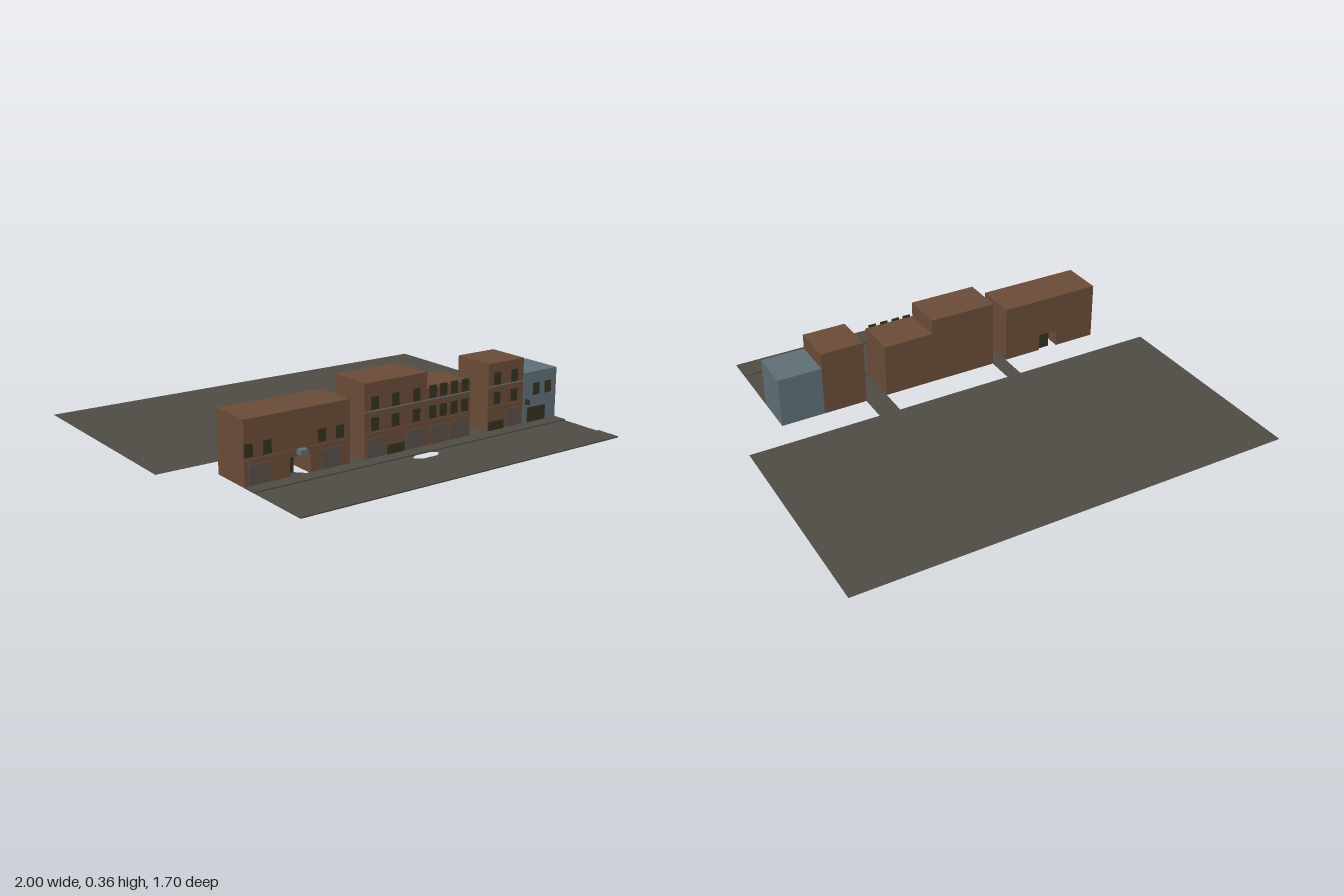
import * as THREE from 'three';

const mat = (name, color, side = THREE.FrontSide) => {
  const m = new THREE.MeshStandardMaterial({ color, side });
  m.name = name;
  return m;
};

export function createModel() {
  const brick = mat('brown brick', 0x6a4c38);
  const slate = mat('blue grey wall', 0x5f6f77);
  const asphalt = mat('asphalt', 0x4f4b45, THREE.DoubleSide);
  const dark = mat('dark glass', 0x33321f);
  const shop = mat('shop grey', 0x5a4f4a);
  const model = new THREE.Group();

  const G = 0.039;      // street level
  const BACK = 0.28, FRONT = 0.475;

  const add = (name, geo, material) => {
    const mesh = new THREE.Mesh(geo, material);
    mesh.name = name;
    model.add(mesh);
    return mesh;
  };
  // Box given by its limits
  const box = (name, x0, x1, y0, y1, z0, z1, material) => {
    const m = add(name, new THREE.BoxGeometry(x1 - x0, y1 - y0, z1 - z0), material);
    m.position.set((x0 + x1) / 2, (y0 + y1) / 2, (z0 + z1) / 2);
    return m;
  };
  // Thin plate on the street front
  const plate = (name, x0, x1, y0, y1, material) =>
    box(name, x0, x1, y0, y1, FRONT - 0.002, FRONT + 0.004, material);
  // Flat ground sheet, optionally pierced
  const sheet = (name, x0, x1, z0, z1, y, hole) => {
    const s = new THREE.Shape([[x0, -z1], [x1, -z1], [x1, -z0], [x0, -z0]]
      .map(p => new THREE.Vector2(...p)));
    if (hole) s.holes.push(hole);
    const m = add(name, new THREE.ShapeGeometry(s).rotateX(-Math.PI / 2), asphalt);
    m.position.y = y;
  };

  // Ground: rear lot, two alleys, road with an opening, pavements
  sheet('rearLot', -1, 1, -0.85, 0.145, G);
  sheet('leftAlley', -0.32, -0.25, 0.145, FRONT, G);
  sheet('rightAlley', 0.3, 0.4, 0.145, FRONT, G);
  const hole = new THREE.Path([
    [-0.07, -0.558], [-0.045, -0.541], [0.03, -0.541], [0.055, -0.558],
    [0.055, -0.572], [0.03, -0.589], [-0.045, -0.589], [-0.07, -0.572],
  ].map(p => new THREE.Vector2(...p)));
  sheet('road', -0.8, 0.8, 0.54, 0.74, G, hole);
  box('nearPavement', -0.8, 0.8, G, 0.044, FRONT, 0.54, asphalt);
  box('farPavement', -0.8, 0.8, G, 0.044, 0.74, 0.85, asphalt);

  // West block with a passage cut through at street level
  const D0 = -0.6, D1 = -0.505, DH = 0.12;
  const outline = new THREE.Shape([
    [-0.8, G], [D0, G], [D0, DH], [D1, DH], [D1, G], [-0.32, G], [-0.32, 0.305], [-0.8, 0.305],
  ].map(p => new THREE.Vector2(...p)));
  add('westBlock', new THREE.ExtrudeGeometry(outline, { depth: FRONT - BACK, bevelEnabled: false }), brick)
    .position.z = BACK;

  // Ramp sinking into the passage, closed by a dark door
  const ramp = add('passageRamp', new THREE.PlaneGeometry(D1 - D0, Math.hypot(0.125, 0.031)), asphalt);
  ramp.rotation.x = -Math.PI / 2 - Math.atan2(0.031, 0.125);
  ramp.position.set((D0 + D1) / 2, G - 0.0155, 0.4125);
  box('passageDoor', D0, D1, 0, DH, 0.348, 0.352, dark);
  box('passageSign', -0.57, -0.535, 0.128, 0.15, FRONT, 0.505, slate);

  // Remaining blocks
  box('middleTallBlock', -0.25, 0.065, G, 0.355, BACK, FRONT, brick);
  box('middleLowBlock', 0.065, 0.3, G, 0.286, BACK, FRONT, brick);
  box('eastTallBlock', 0.4, 0.6, G, 0.338, BACK, FRONT, brick);
  box('eastLowBlock', 0.6, 0.8, G, 0.268, BACK, FRONT, slate);

  // Windows: left edges for each row
  const windows = (xs, y) => xs.forEach(x => plate('window', x, x + 0.036, y, y + 0.053, dark));
  windows([-0.8, -0.718, -0.472, -0.387], 0.157);
  const upper = [-0.218, -0.115, -0.008, 0.077, 0.133, 0.191, 0.249, 0.43, 0.528];
  windows(upper, 0.157);
  windows(upper, 0.243);
  windows([0.661, 0.731], 0.163);

  // Shop windows and entrances
  for (const [a, b] of [[-0.785, -0.69], [-0.455, -0.36], [-0.24, -0.145], [-0.04, 0.045],
    [0.085, 0.17], [0.19, 0.28], [0.505, 0.585]]) plate('shopFront', a, b, 0.045, 0.125, shop);
  for (const [a, b, top] of [[-0.136, -0.05, 0.083], [0.405, 0.49, 0.083], [0.63, 0.735, 0.11]])
    plate('entrance', a, b, 0.044, top, dark);
  box('smallSign', 0.616, 0.623, 0.128, 0.15, FRONT, 0.5, dark);

  // Thin string courses
  for (const [a, b] of [[-0.8, -0.32], [-0.25, 0.3], [0.4, 0.6]]) {
    plate('lowerCourse', a, b, 0.145, 0.149, brick);
    if (a > -0.5) plate('upperCourse', a, b, 0.235, 0.239, slate);
  }
  return model;
}
